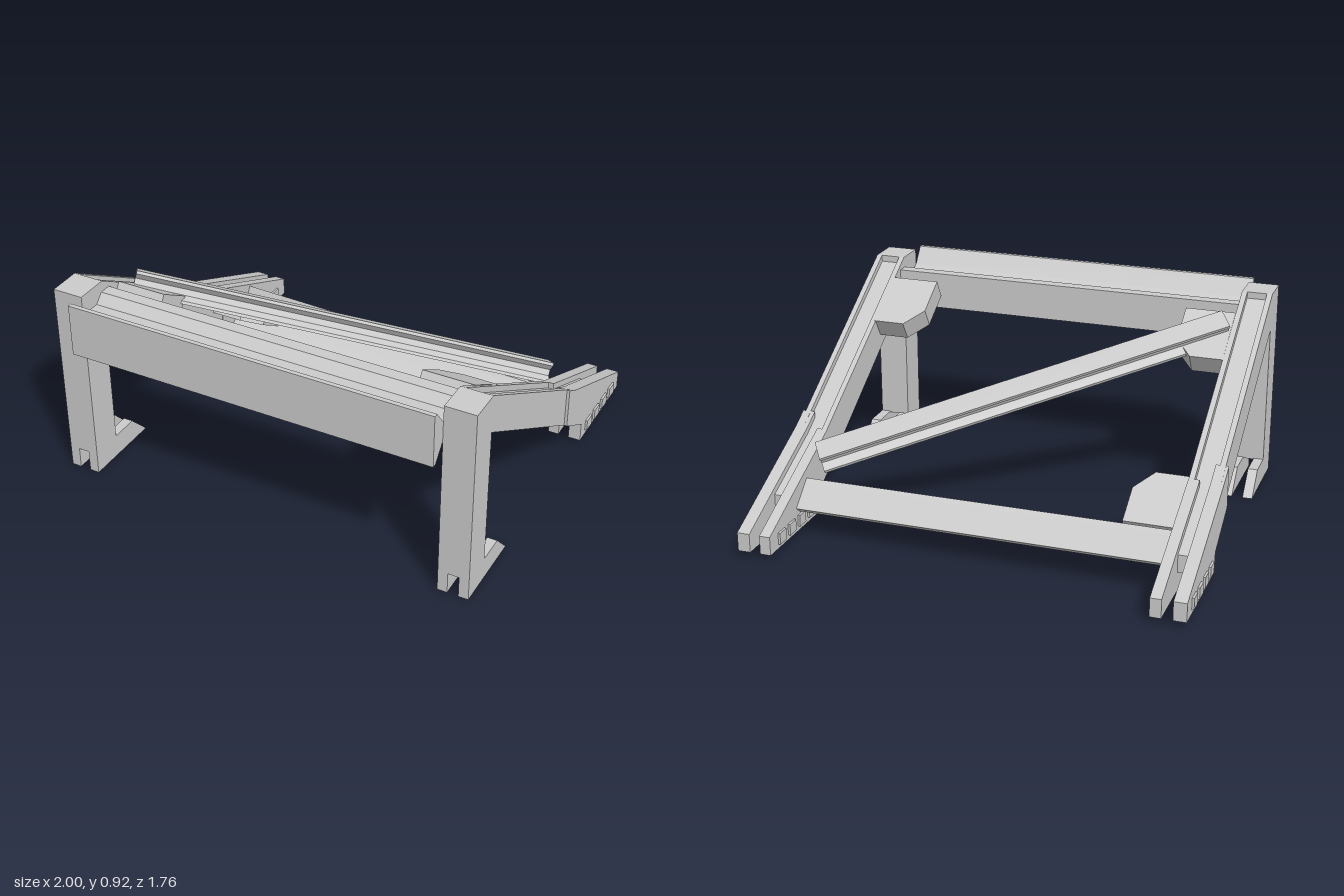
import * as THREE from 'three';

const V = (x, y, z) => new THREE.Vector3(x, y, z);

export function createModel() {
  const model = new THREE.Group();
  model.name = 'slopedFrame';
  const mat = new THREE.MeshStandardMaterial({ color: 0xcccccc, flatShading: true });

  // Extrude a section: its u, v axes follow b, n and its depth follows a.
  function extrude(name, pts, depth, origin, b, n, a) {
    const shape = new THREE.Shape(pts.map(([u, v]) => new THREE.Vector2(u, v)));
    const geo = new THREE.ExtrudeGeometry(shape, { depth, bevelEnabled: false });
    geo.applyMatrix4(new THREE.Matrix4().makeBasis(b, n, a).setPosition(origin));
    const mesh = new THREE.Mesh(geo, mat);
    mesh.name = name;
    model.add(mesh);
  }

  // Side profile given as [z, y], extruded between two x positions.
  function prism(name, pts, xa, xb) {
    extrude(name, pts.map(([z, y]) => [-z, y]), Math.abs(xb - xa),
      V(Math.min(xa, xb), 0, 0), V(0, 0, -1), V(0, 1, 0), V(1, 0, 0));
  }

  // Section carried from p0 to p1, with v along the given normal.
  function beam(name, pts, p0, p1, normal) {
    const a = p1.clone().sub(p0);
    const length = a.length();
    a.normalize();
    const n = normal.clone().addScaledVector(a, -normal.dot(a)).normalize();
    extrude(name, pts, length, p0, n.clone().cross(a), n, a);
  }

  function box(name, w, h, d, x, y, z) {
    const mesh = new THREE.Mesh(new THREE.BoxGeometry(w, h, d), mat);
    mesh.position.set(x, y, z);
    mesh.name = name;
    model.add(mesh);
  }

  const slope = 0.6;
  const normal = V(0, 1, -slope).normalize();
  const topY = z => 0.536 + slope * z;

  const railSide = [[0.65, 0.92], [-0.28, 0.375], [-0.88, 0.11], [-0.40, 0.11], [0.65, 0.745]];
  const railWeb = [[0.65, 0.89], [-0.28, 0.345], [-0.63, 0.19], [-0.63, 0.11], [-0.40, 0.11], [0.65, 0.745]];
  const rearEnd = [[-0.28, 0.375], [-0.88, 0.11], [-0.88, 0.025], [-0.40, 0.02], [-0.40, 0.11], [-0.28, 0.18]];
  const rearPlate = [[-0.20, 0.42], [-0.28, 0.375], [-0.88, 0.11], [-0.88, 0.025],
    [-0.40, 0.02], [-0.40, 0.11], [-0.20, 0.23]];
  const foot = [[0.80, 0], [0.80, 0.105], [0.52, 0.105], [0.42, 0]];

  for (const s of [-1, 1]) {
    // Local x: positive points outward from the frame.
    const X = x => -0.005 + s * (0.905 + x);

    // Leg with a forked foot
    prism('leg', [[0.80, 0.10], [0.80, 0.92], [0.65, 0.92], [0.65, 0.10]], X(-0.07), X(0.07));
    prism('footInnerPlate', foot, X(-0.07), X(-0.025));
    prism('footOuterPlate', foot, X(0.025), X(0.07));

    // Sloping rail: two flanges with a sunken web
    prism('railWeb', railWeb, X(-0.045), X(0.045));
    prism('railInnerFlange', railSide, X(-0.07), X(-0.045));
    prism('railOuterFlange', railSide, X(0.045), X(0.07));

    // Forked rear end with raised pads
    prism('rearInnerPlate', rearEnd, X(-0.071), X(-0.022));
    prism('rearOuterPlate', rearPlate, X(0.026), X(0.083));
    for (let i = 0; i < 4; i++) {
      const z = -0.485 - i * 0.096;
      box('outerPad', 0.014, 0.052, 0.06, X(0.086), 0.07, z);
      box('innerPad', 0.014, 0.052, 0.06, X(-0.074), 0.07, z);
    }
  }

  // Corner brackets lying in the slope, chamfered at the free corner
  const down = V(0, -slope, -1).normalize();
  function bracket(name, side, zFlat, zCut, drop) {
    const k = -1 / Math.cos(Math.atan(slope));
    const inset = Math.sign(zFlat - zCut) * 0.08;
    const pts = [[0.84, zFlat], [0.61, zFlat], [0.61, zCut + inset], [0.69, zCut], [0.84, zCut]]
      .map(([x, z]) => [side * x, z * k]);
    const origin = V(0, topY(0) - drop, 0).addScaledVector(normal, -0.1);
    extrude(name, pts, 0.1, origin, V(1, 0, 0), down, normal);
  }
  bracket('frontBracket', 1, 0.53, 0.29, 0);
  bracket('frontBracket', -1, 0.53, 0.29, 0);
  bracket('rearBracket', -1, -0.48, -0.25, 0.015);

  // Front crossbeam: tall flared face, neck and rear flange
  prism('frontCrossbeam', [
    [0.88, 0.68], [0.88, 0.92], [0.86, 0.92], [0.80, 0.845], [0.775, 0.83], [0.70, 0.83],
    [0.66, 0.87], [0.605, 0.87], [0.605, 0.70], [0.66, 0.70], [0.70, 0.76], [0.775, 0.76],
    [0.80, 0.75], [0.86, 0.68]], -0.85, 0.83);

  // Rear crossbeam, set slightly out of square
  const rearSection = [
    [-0.65, 0.15], [-0.555, 0.235], [-0.535, 0.25], [-0.52, 0.215], [-0.505, 0.215],
    [-0.49, 0.20], [-0.37, 0.125], [-0.385, 0.10], [-0.50, 0.16], [-0.62, 0.125]];
  beam('rearCrossbeam', rearSection.map(([z, y]) => [-z - 0.5, y - 0.17]),
    V(-0.845, 0.172, -0.505), V(0.835, 0.152, -0.47), V(0, 1, 0));

  // Diagonal brace: flanged section raised above the rails
  const half = [[0.052, 0], [0.052, -0.014], [0.02, -0.036], [0.02, -0.064], [0.052, -0.086], [0.052, -0.1]];
  const brace = [...half, ...half.map(([u, v]) => [-u, v]).reverse()];
  beam('diagonalBrace', brace, V(-0.82, 0.861, 0.42), V(0.79, 0.353, -0.47), V(0, 0.868, -0.496));

  return model;
}
